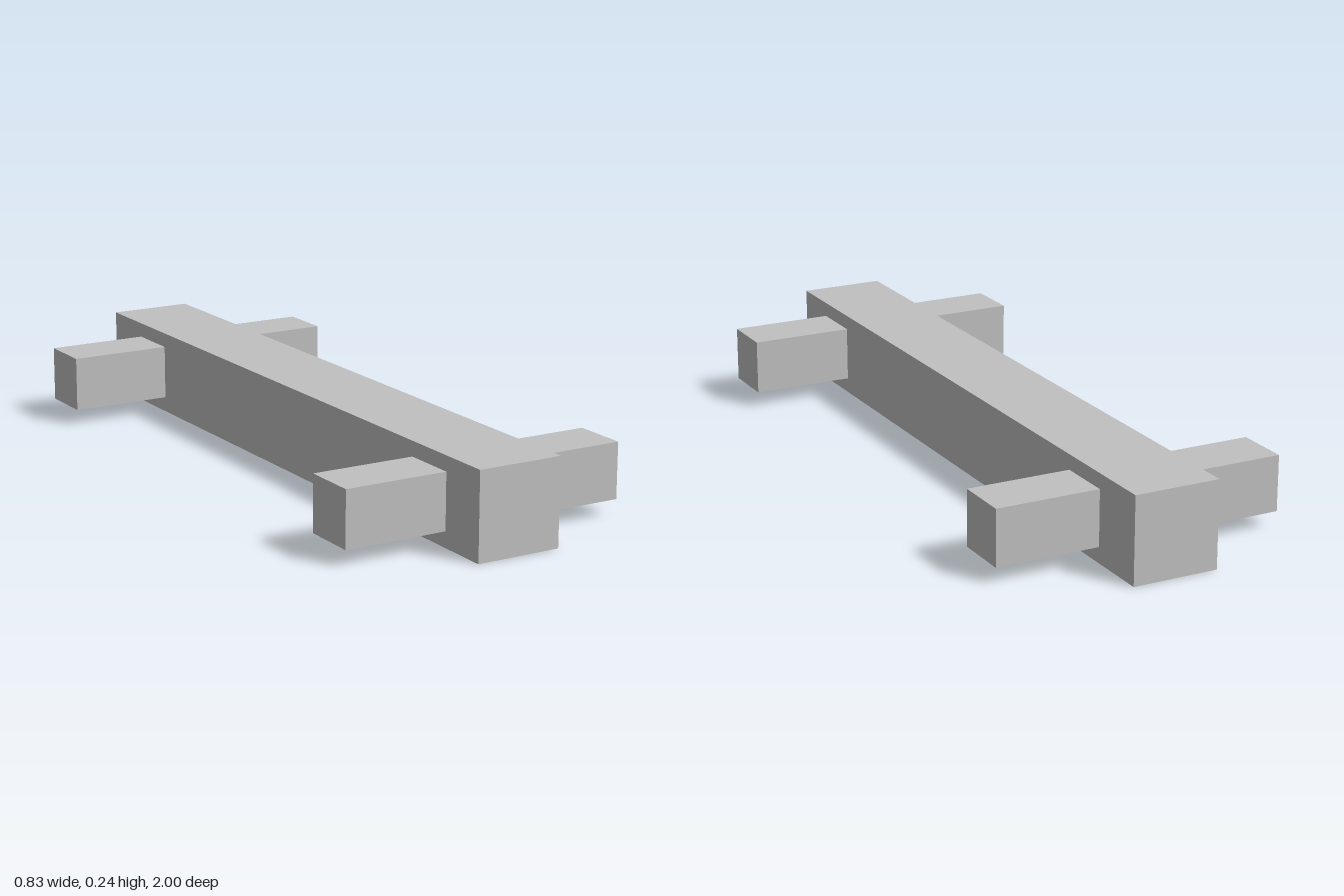
import * as THREE from 'three';

export function createModel() {
  const model = new THREE.Group();
  const grey = new THREE.MeshStandardMaterial({ color: 0xc0c0c0 });
  grey.name = 'plain grey';

  const addBox = (name, [w, h, d], [x, y, z]) => {
    const mesh = new THREE.Mesh(new THREE.BoxGeometry(w, h, d), grey);
    mesh.name = name;
    mesh.position.set(x, y, z);
    model.add(mesh);
  };

  // Long square beam
  addBox('mainBeam', [0.242, 0.242, 2], [0, 0.121, 0]);

  // Crossbars near each end, the back one set slightly further in
  addBox('frontCrossbar', [0.828, 0.156, 0.156], [0, 0.122, 0.775]);
  addBox('backCrossbar', [0.828, 0.156, 0.156], [0, 0.122, -0.75]);

  return model;
}
